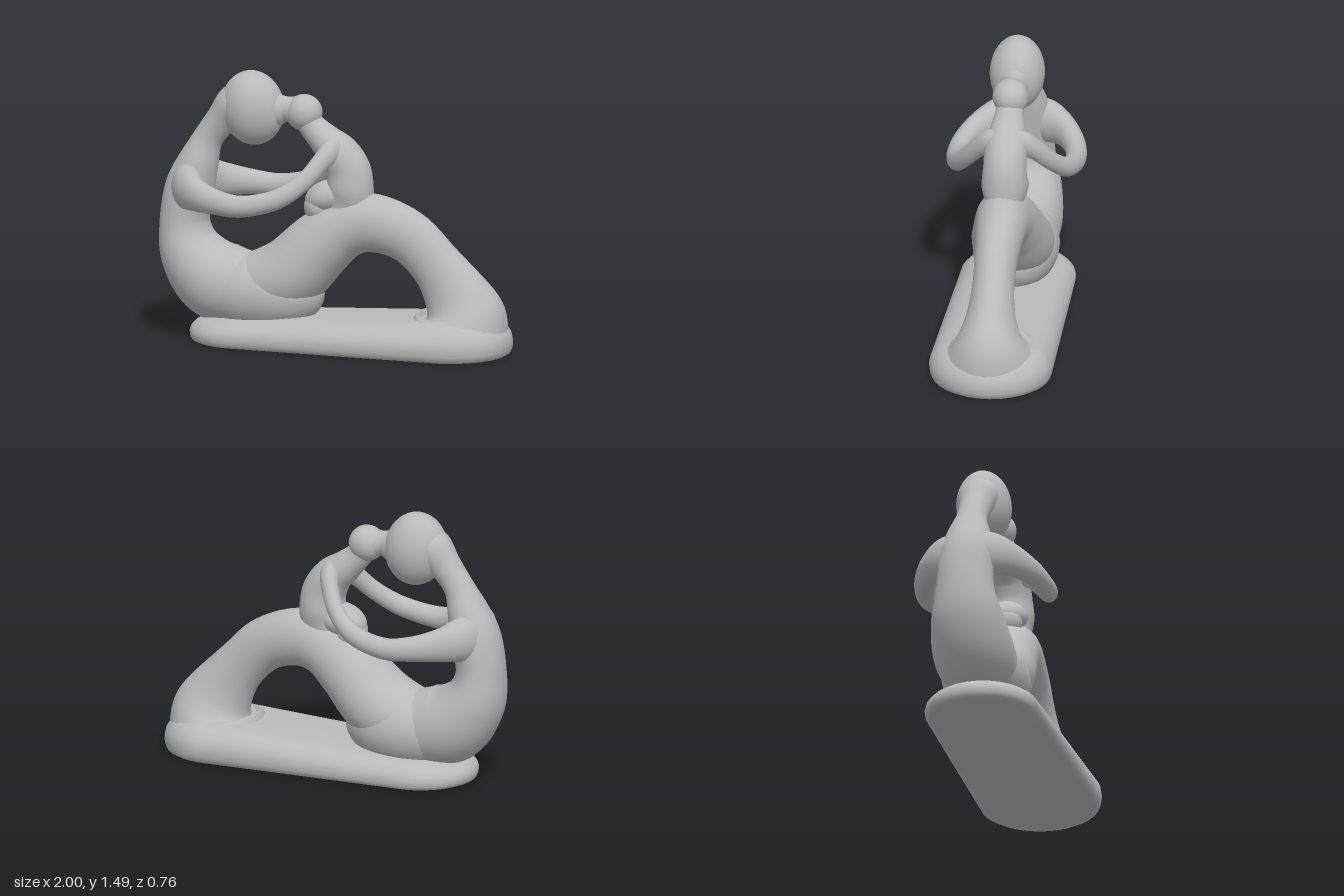
import * as THREE from 'three';

const SIDES = 32;

// Closed skin over a list of rings (each SIDES points, counter-clockwise about the loft direction)
function loft(rings) {
  const pos = [], idx = [], n = SIDES, last = (rings.length - 1) * n;
  for (const ring of rings) for (const p of ring) pos.push(p.x, p.y, p.z);
  const centre = ring => {
    const c = new THREE.Vector3();
    ring.forEach(p => c.addScaledVector(p, 1 / n));
    pos.push(c.x, c.y, c.z);
    return pos.length / 3 - 1;
  };
  const c0 = centre(rings[0]), c1 = centre(rings[rings.length - 1]);
  for (let j = 0; j < n; j++) {
    const k = (j + 1) % n;
    for (let o = 0; o < last; o += n) {
      idx.push(o + j, o + k, o + n + j, o + k, o + n + k, o + n + j);
    }
    idx.push(c0, k, j, c1, last + j, last + k);
  }
  const g = new THREE.BufferGeometry();
  g.setAttribute('position', new THREE.Float32BufferAttribute(pos, 3));
  g.setIndex(idx);
  g.computeVertexNormals();
  return g;
}

// Elliptical sweep: stations are [x, y, z, radius across, radius along ref]
function sweep(stations, ref, steps = 48) {
  const path = new THREE.CatmullRomCurve3(
    stations.map(s => new THREE.Vector3(s[0], s[1], s[2])), false, 'catmullrom');
  const size = new THREE.CatmullRomCurve3(
    stations.map(s => new THREE.Vector3(s[3], s[4], 0)), false, 'catmullrom');
  const rings = [];
  for (let i = 0; i <= steps; i++) {
    const t = i / steps, p = path.getPoint(t), r = size.getPoint(t), T = path.getTangent(t);
    const S = ref.clone().addScaledVector(T, -ref.dot(T)).normalize();
    const N = S.clone().cross(T);
    rings.push(Array.from({ length: SIDES }, (_, j) => {
      const a = j / SIDES * Math.PI * 2;
      return p.clone().addScaledVector(N, r.x * Math.cos(a)).addScaledVector(S, r.y * Math.sin(a));
    }));
  }
  return loft(rings);
}

// Rounded slab with semicircular ends, its top rising gently towards +x
function slab() {
  const profile = [[0.01, 0.05], [0.01, 0.03], [0.02, 0.012], [0.045, 0.002], [0.08, 0],
    [0.115, 0.008], [0.15, 0.032], [0.175, 0.062], [0.192, 0.105], [0.2, 0.16]];
  return loft(profile.map(([y, inset]) => Array.from({ length: SIDES }, (_, j) => {
    const a = (j + 0.5) / SIDES * Math.PI * 2, right = Math.sin(a) > 0;
    const r = (right ? 0.338 : 0.315) - inset;
    const x = (right ? 0.662 : -0.505) + r * Math.sin(a);
    const rise = 0.72 + 0.36 * THREE.MathUtils.smoothstep(x, -0.8, 0.4);
    return new THREE.Vector3(x, 0.01 + (y - 0.01) * rise, r * Math.cos(a));
  })));
}

export function createModel() {
  const group = new THREE.Group();
  const stone = new THREE.MeshStandardMaterial({ color: 0xbababa });
  stone.name = 'grey stone';
  const Y = new THREE.Vector3(0, 1, 0), Z = new THREE.Vector3(0, 0, 1);

  const add = (name, geometry) => {
    const mesh = new THREE.Mesh(geometry, stone);
    mesh.name = name;
    group.add(mesh);
    return mesh;
  };
  const ball = (name, x, y, rx, ry, rz, tilt = 0) => {
    const mesh = add(name, new THREE.SphereGeometry(1, 36, 24));
    mesh.position.set(x, y, 0);
    mesh.scale.set(rx, ry, rz);
    mesh.rotation.z = tilt;
  };

  add('base', slab());

  // Large figure: hips, back and neck
  ball('hips', -0.43, 0.28, 0.36, 0.22, 0.235);
  add('largeTorso', sweep([
    [-0.46, 0.28, 0, 0.2, 0.2],
    [-0.68, 0.33, 0, 0.22, 0.222],
    [-0.82, 0.47, 0, 0.175, 0.2],
    [-0.865, 0.64, 0, 0.135, 0.16],
    [-0.835, 0.83, 0, 0.135, 0.15],
    [-0.785, 0.98, 0, 0.11, 0.125],
    [-0.73, 1.11, 0, 0.083, 0.085],
    [-0.65, 1.22, 0, 0.088, 0.09],
    [-0.57, 1.31, 0, 0.11, 0.115],
    [-0.5, 1.34, 0, 0.09, 0.09],
  ], Z, 60));
  ball('largeHead', -0.475, 1.295, 0.175, 0.205, 0.15, 0.15);

  // Arched legs running from the lap over the knee, flaring into the foot
  add('legs', sweep([
    [-0.46, 0.3, 0, 0.19, 0.21],
    [-0.26, 0.39, 0, 0.2, 0.222],
    [-0.09, 0.555, 0, 0.185, 0.19],
    [0.06, 0.665, 0, 0.165, 0.16],
    [0.22, 0.7, 0, 0.16, 0.14],
    [0.42, 0.637, 0, 0.147, 0.12],
    [0.58, 0.488, 0, 0.145, 0.115],
    [0.69, 0.335, 0, 0.185, 0.145],
    [0.735, 0.225, 0, 0.233, 0.21],
    [0.72, 0.13, 0, 0.272, 0.3],
  ], Z, 60));

  // Arms of the large figure, circling the small one
  for (const [name, s] of [['leftArm', 1], ['rightArm', -1]]) {
    add(name, sweep([
      [-0.85, 0.85, 0, 0.07, 0.11],
      [-0.81, 0.855, 0.12, 0.085, 0.125],
      [-0.73, 0.84, 0.225, 0.07, 0.095],
      [-0.59, 0.82, 0.3, 0.06, 0.07],
      [-0.43, 0.81, 0.325, 0.055, 0.06],
      [-0.24, 0.855, 0.3, 0.05, 0.055],
      [-0.11, 0.945, 0.235, 0.045, 0.05],
      [-0.03, 1.05, 0.15, 0.047, 0.055],
      [0.005, 1.1, 0.08, 0.055, 0.07],
      [0.025, 1.1, 0, 0.055, 0.07],
    ].map(([x, y, z, a, b]) => [x, y, z * s, a, b]), Y));
  }

  // Small figure seated on the knee
  add('smallTorso', sweep([
    [-0.18, 1.275, 0, 0.07, 0.07],
    [-0.125, 1.205, 0, 0.074, 0.08],
    [-0.05, 1.135, 0, 0.09, 0.1],
    [0.025, 1.07, 0, 0.108, 0.115],
    [0.075, 0.98, 0, 0.122, 0.118],
    [0.085, 0.88, 0, 0.128, 0.125],
    [0.075, 0.8, 0, 0.135, 0.11],
    [0.06, 0.7, 0, 0.14, 0.1],
  ], Z));
  ball('smallLap', -0.03, 0.835, 0.145, 0.09, 0.118, 0.3);
  ball('smallFeet', -0.085, 0.775, 0.09, 0.09, 0.105);
  ball('smallHead', -0.18, 1.287, 0.1, 0.1, 0.098);

  // Bridge where the two faces meet
  add('kiss', sweep([
    [-0.42, 1.29, 0, 0.11, 0.1],
    [-0.33, 1.295, 0, 0.092, 0.08],
    [-0.28, 1.3, 0, 0.068, 0.062],
    [-0.22, 1.292, 0, 0.08, 0.078],
    [-0.17, 1.287, 0, 0.07, 0.07],
  ], Z, 20));

  return group;
}
